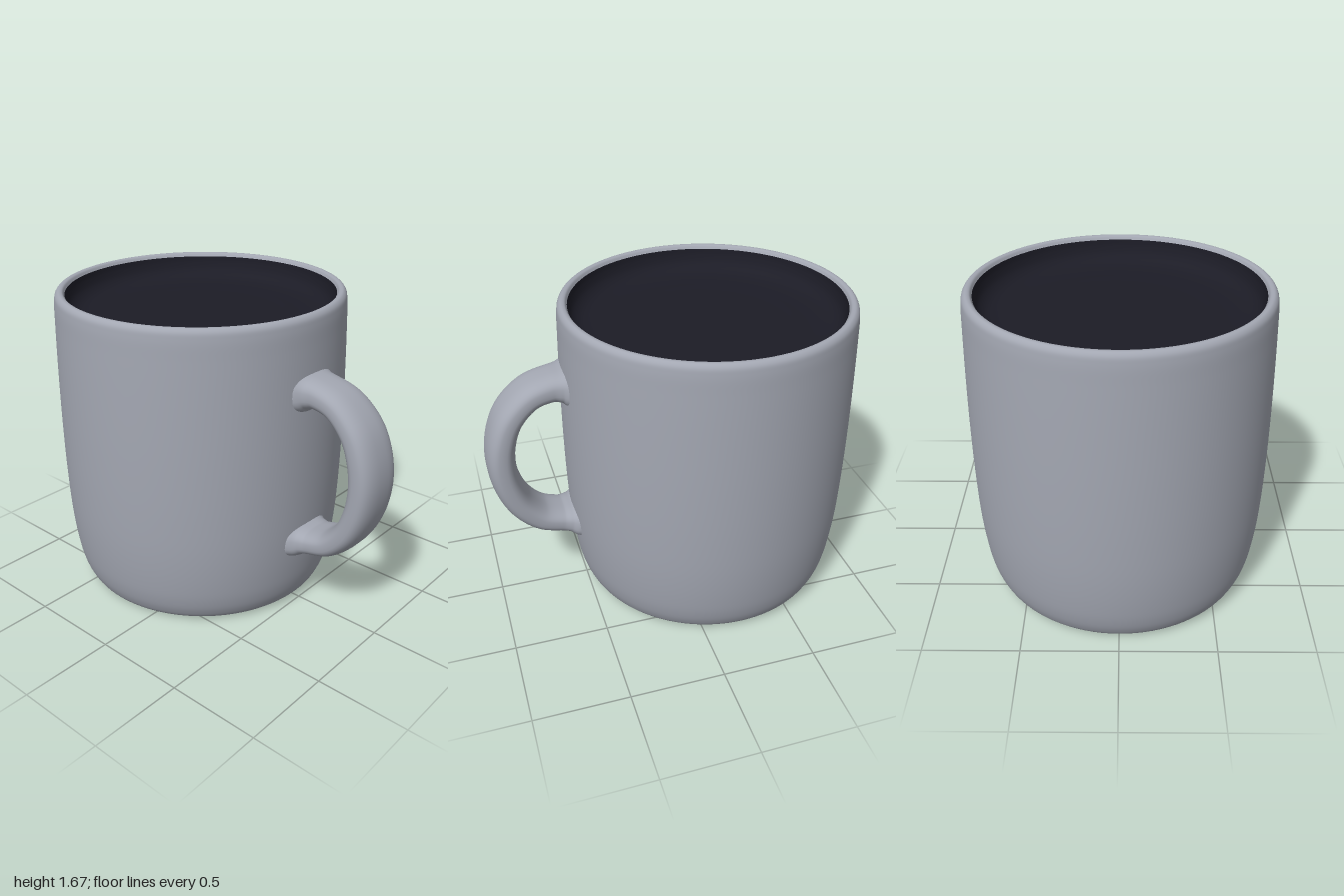
import * as THREE from 'three';

const CUP_Z = -0.215;

// Smooth curve through [x, y] pairs
const smooth = (pts) =>
  new THREE.CatmullRomCurve3(pts.map(([x, y]) => new THREE.Vector3(x, y, 0)));

// Surface of revolution along a smoothed profile
function turned(name, pts, material, steps = 60) {
  const profile = smooth(pts).getPoints(steps).map((p) => new THREE.Vector2(Math.max(p.x, 0), p.y));
  const mesh = new THREE.Mesh(new THREE.LatheGeometry(profile, 96), material);
  mesh.name = name;
  mesh.position.z = CUP_Z;
  return mesh;
}

// Rounded-rectangular section swept along a path in the yz plane.
// Each station is [z, y, half thickness, half width].
function sweptHandle(stations, rings = 100, sides = 40) {
  const path = smooth(stations.map(([z, y]) => [z, y]));
  const size = smooth(stations.map(([, , t, w]) => [t, w]));
  const round = (v) => Math.sign(v) * Math.abs(v) ** 0.75;
  const position = [], index = [];
  for (let i = 0; i <= rings; i++) {
    const c = path.getPoint(i / rings), d = path.getTangent(i / rings), s = size.getPoint(i / rings);
    for (let j = 0; j < sides; j++) {
      const a = (j / sides) * Math.PI * 2;
      const across = round(Math.cos(a)) * s.y, out = round(Math.sin(a)) * s.x;
      position.push(across, c.y + d.x * out, c.x - d.y * out);
      if (i < rings) {
        const k = (j + 1) % sides, p = i * sides, q = p + sides;
        index.push(p + j, q + j, p + k, p + k, q + j, q + k);
      }
    }
  }
  const g = new THREE.BufferGeometry();
  g.setAttribute('position', new THREE.Float32BufferAttribute(position, 3));
  g.setIndex(index);
  g.computeVertexNormals();
  return g;
}

export function createModel() {
  const model = new THREE.Group();
  model.name = 'mug';
  const grey = new THREE.MeshStandardMaterial({ color: 0xa3a7b2 });
  grey.name = 'grey glaze';
  grey.side = THREE.DoubleSide;
  const dark = new THREE.MeshStandardMaterial({ color: 0x1c1c26 });
  dark.name = 'dark filling';

  // Outer wall with rounded foot, slight belly and rounded rim
  model.add(turned('outerWall', [
    [0.64, 0], [0.682, 0.02], [0.713, 0.072], [0.736, 0.145], [0.754, 0.25], [0.771, 0.42],
    [0.781, 0.65], [0.785, 0.95], [0.783, 1.25], [0.778, 1.5], [0.774, 1.61],
    [0.767, 1.648], [0.75, 1.665], [0.73, 1.663], [0.718, 1.645],
  ], grey, 90));

  // Flat underside
  model.add(turned('base', [[0, 0], [0.64, 0]], grey, 4));

  // Dark filling, a shallow dish just under the rim
  model.add(turned('filling', [
    [0.718, 1.645], [0.712, 1.61], [0.695, 1.57], [0.66, 1.54],
    [0.6, 1.525], [0.45, 1.52], [0.2, 1.52], [0, 1.52],
  ], dark));

  // Handle, flaring gently where it meets the wall
  const handle = new THREE.Mesh(sweptHandle([
    [0.515, 1.275, 0.115, 0.175], [0.55, 1.277, 0.104, 0.16], [0.58, 1.279, 0.086, 0.138],
    [0.63, 1.278, 0.075, 0.128], [0.74, 1.245, 0.07, 0.132], [0.85, 1.14, 0.072, 0.14],
    [0.905, 1.01, 0.075, 0.145], [0.922, 0.87, 0.077, 0.146], [0.9, 0.72, 0.076, 0.145],
    [0.84, 0.585, 0.072, 0.142], [0.74, 0.485, 0.068, 0.136], [0.63, 0.447, 0.067, 0.13],
    [0.58, 0.44, 0.077, 0.14], [0.55, 0.436, 0.093, 0.16], [0.515, 0.434, 0.105, 0.175],
  ]), grey);
  handle.name = 'handle';
  handle.position.x = -0.02;
  model.add(handle);

  return model;
}
